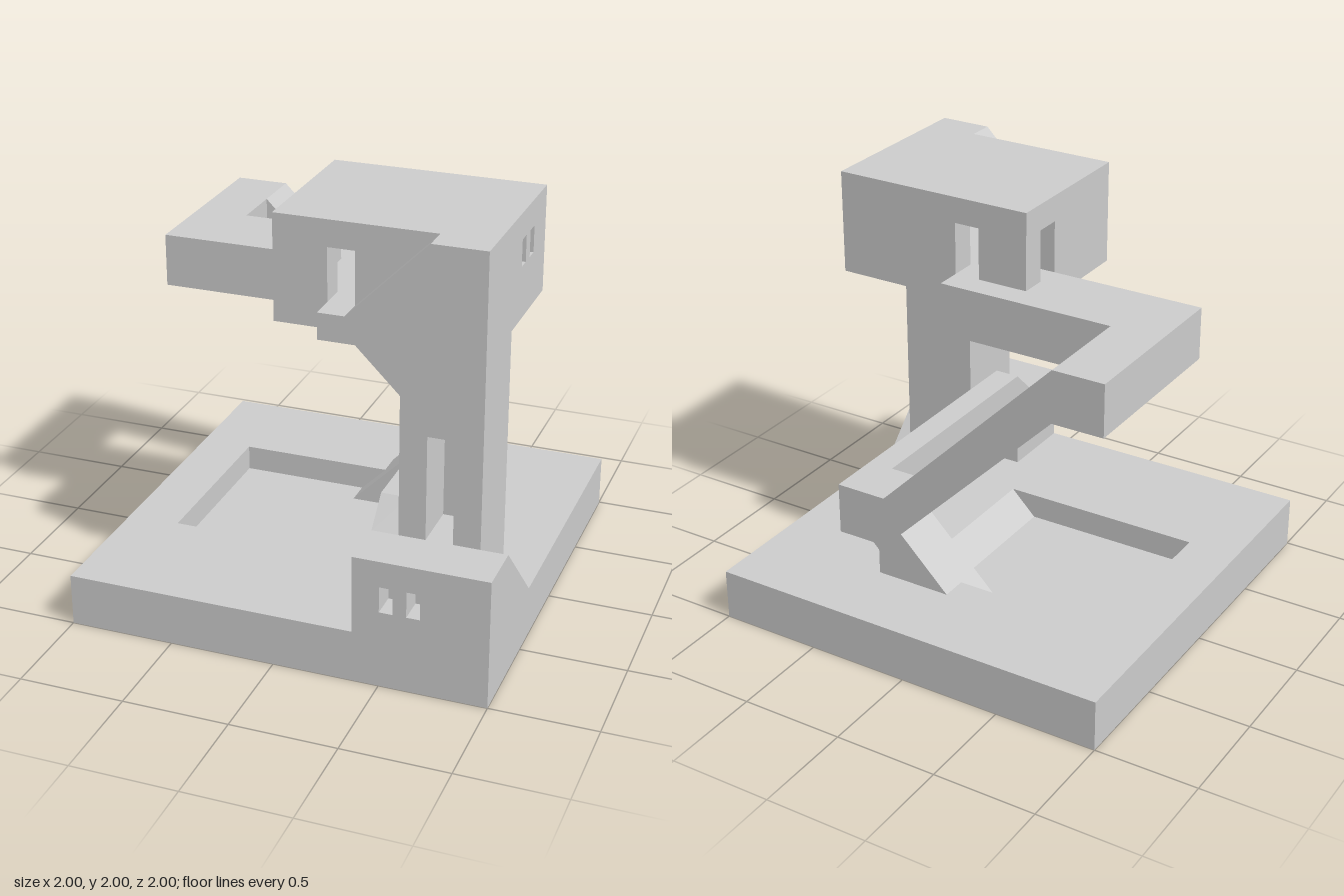
import * as THREE from 'three';

const material = new THREE.MeshStandardMaterial({ color: 0xcccccc, flatShading: true });

export function createModel() {
  const model = new THREE.Group();

  function add(name, geometry) {
    const mesh = new THREE.Mesh(geometry, material);
    mesh.name = name;
    model.add(mesh);
  }
  // Box given by its ranges on the three axes
  function box(name, x0, x1, y0, y1, z0, z1) {
    const g = new THREE.BoxGeometry(x1 - x0, y1 - y0, z1 - z0);
    add(name, g.translate((x0 + x1) / 2, (y0 + y1) / 2, (z0 + z1) / 2));
  }
  const points = (list) => list.map(([a, b]) => new THREE.Vector2(a, b));
  const rect = (a0, a1, b0, b1) => [[a0, b0], [a1, b0], [a1, b1], [a0, b1]];
  function extrude(outline, holes, depth) {
    const shape = new THREE.Shape(points(outline));
    holes.forEach((h) => shape.holes.push(new THREE.Path(points(h))));
    return new THREE.ExtrudeGeometry(shape, { depth, bevelEnabled: false });
  }
  // Outline in (x, y), extruded from z0 to z1
  function alongZ(name, outline, z0, z1, holes = []) {
    add(name, extrude(outline, holes, z1 - z0).translate(0, 0, z0));
  }
  // Outline in (z, y), extruded from x0 to x1
  function alongX(name, outline, x0, x1, holes = []) {
    add(name, extrude(outline, holes, x1 - x0).rotateY(-Math.PI / 2).translate(x1, 0, 0));
  }
  // Outline in (x, z), extruded from y0 to y1
  function alongY(name, outline, y0, y1, holes = []) {
    add(name, extrude(outline, holes, y1 - y0).rotateX(Math.PI / 2).translate(0, y1, 0));
  }

  // Base slab with a sunken pit that has one sloping end
  box('baseFloor', -1, 1, 0, 0.125, -1, 1);
  alongY('baseRim', rect(-1, 1, -1, 1), 0.125, 0.25, [rect(-0.75, 0.25, -0.5, 0.375)]);
  alongZ('pitSlope', [[0.125, 0.125], [0.25, 0.125], [0.25, 0.25]], -0.5, 0.375);

  // Entrance block with two window recesses and a sloping back
  box('entranceBlockBack', 0.375, 1, 0.25, 0.625, 0.75, 0.875);
  alongZ('entranceBlockFront', rect(0.375, 1, 0.25, 0.625), 0.875, 1,
    [0.5, 0.625].map((x) => rect(x, x + 0.0625, 0.375, 0.5)));
  alongX('entranceBlockSlope', [[0.375, 0.25], [0.75, 0.25], [0.75, 0.625]], 0.875, 1);

  // Tower with a deep doorway
  box('towerBack', 0.5, 0.875, 0.25, 1.5, 0.375, 0.5);
  alongZ('towerFront', rect(0.5, 0.875, 0.25, 1.5), 0.5, 0.75, [rect(0.625, 0.75, 0.625, 1.125)]);

  // Narrow walkway beside the tower, ending in a short slope with a bracket below
  alongX('lowerWalkway', [
    [-0.75, 0.5], [-0.75, 0.75], [0.625, 0.75], [0.75, 0.625],
    [0.75, 0.25], [0.625, 0.25], [0.625, 0.375], [0.5, 0.5],
  ], 0.375, 0.5);

  // Buttress under the walkway, running down into the pit
  alongZ('walkwayButtress', [
    [0, 0.25], [0.375, 0.25], [0.375, 0.375], [0.5, 0.5], [0.375, 0.5], [0.25, 0.5],
  ], -0.625, -0.5);
  alongZ('walkwayButtressSlope', [
    [-0.125, 0.125], [0.375, 0.125], [0.375, 0.375], [0.5, 0.5], [0.375, 0.5], [0.375, 0.625],
  ], -0.5, -0.375);

  // Long ramp joining the lower and upper walkways
  alongZ('ramp', [
    [-0.875, 1.375], [-0.625, 1.375], [0.25, 0.5], [0.375, 0.5],
    [0.375, 0.75], [0.25, 0.75], [-0.625, 1.625], [-0.875, 1.625],
  ], -0.75, -0.5);

  // Upper walkway, turning from the ramp into the room
  alongY('upperWalkway', [
    [-0.875, -0.5], [-0.625, -0.5], [-0.625, -0.25], [0.25, -0.25], [0.25, 0.125], [-0.875, 0.125],
  ], 1.375, 1.625);

  // Hollow room on top: floor, ceiling and walls with three doorways
  box('roomFloor', -0.125, 0.875, 1.5, 1.625, -0.125, 0.625);
  box('roomCeiling', -0.125, 0.875, 1.875, 2, -0.125, 0.625);
  for (const [name, z] of [['roomFrontWall', 0.5], ['roomBackWall', -0.125]]) {
    box(name, -0.125, 0.125, 1.625, 1.875, z, z + 0.125);
    box(name, 0.25, 0.875, 1.625, 1.875, z, z + 0.125);
  }
  box('roomSideWall', -0.125, 0, 1.625, 1.875, 0.125, 0.5);

  // Wall with two small windows under the ceiling
  alongX('roomWindowWall', [
    [0, 1.625], [0.5, 1.625], [0.5, 1.875], [0.25, 1.875], [0.25, 1.75], [0.1875, 1.75],
    [0.1875, 1.875], [0.125, 1.875], [0.125, 1.75], [0.0625, 1.75], [0.0625, 1.875], [0, 1.875],
  ], 0.75, 0.875);

  // Outer ledge and ramp from the front doorway up to the roof
  alongZ('roofRamp', [
    [0.125, 1.5], [0.875, 1.5], [0.875, 2], [0.625, 2], [0.25, 1.625], [0.125, 1.625],
  ], 0.625, 0.75);

  return model;
}
